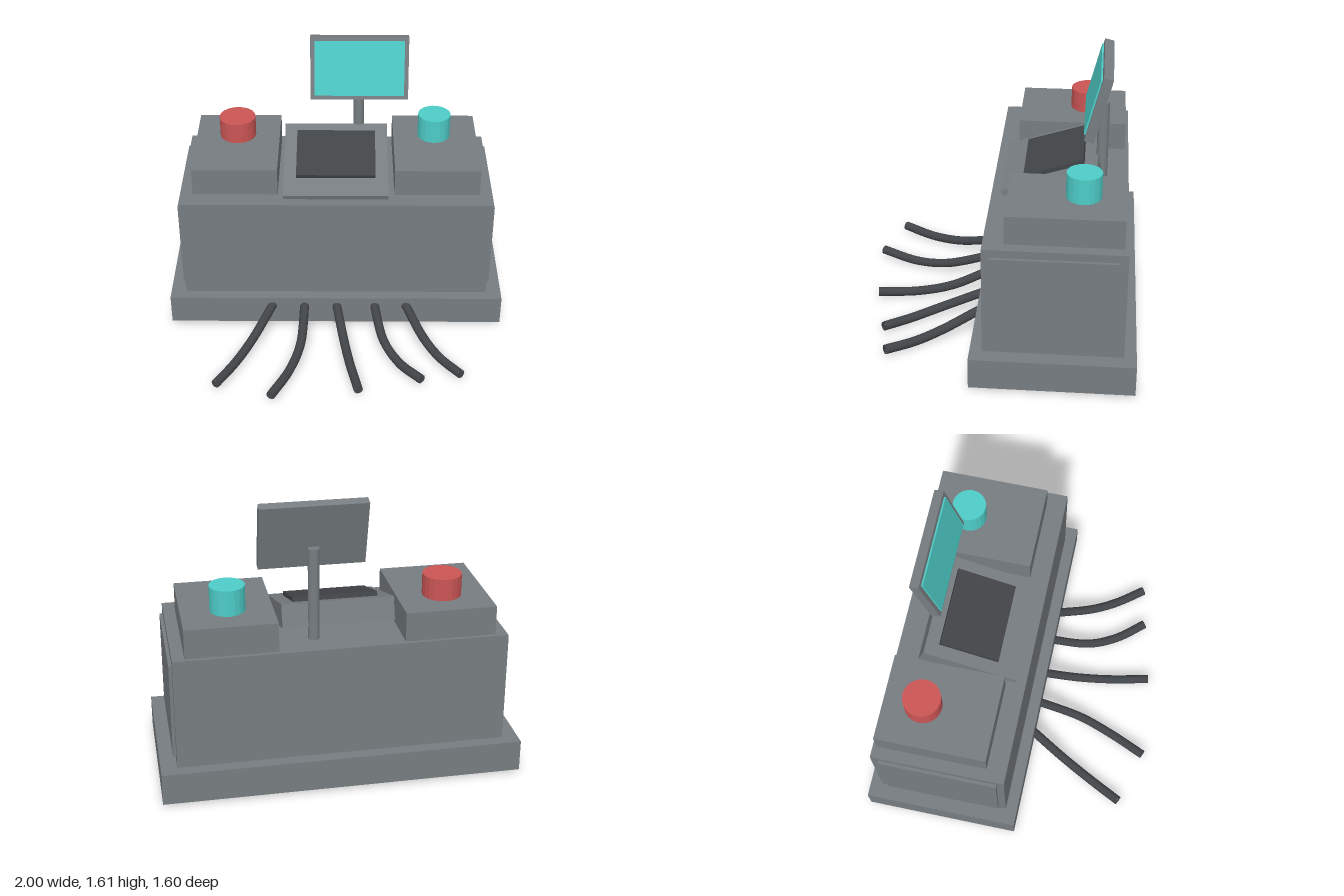
import * as THREE from 'three';

const material = (name, color) => {
  const m = new THREE.MeshStandardMaterial({ color });
  m.name = name;
  return m;
};

export function createModel() {
  const grey = material('cabinet grey', 0x777d81);
  const dark = material('cable black', 0x424548);
  const red = material('button red', 0xcc5555);
  const cyan = material('screen cyan', 0x4ecdc8);

  const model = new THREE.Group();
  model.name = 'controlConsole';

  const add = (name, geometry, mat, parent = model) => {
    const mesh = new THREE.Mesh(geometry, mat);
    mesh.name = name;
    parent.add(mesh);
    return mesh;
  };
  // Box given by its lowest and highest corner
  const box = (name, mat, [x0, y0, z0], [x1, y1, z1], parent = model) => {
    const mesh = add(name, new THREE.BoxGeometry(x1 - x0, y1 - y0, z1 - z0), mat, parent);
    mesh.position.set((x0 + x1) / 2, (y0 + y1) / 2, (z0 + z1) / 2);
    return mesh;
  };
  // Upright cylinder with flat facets
  const post = (name, mat, radius, sides, x, y0, y1, z) => {
    const geometry = new THREE.CylinderGeometry(radius, radius, y1 - y0, sides).toNonIndexed();
    geometry.computeVertexNormals();
    add(name, geometry, mat).position.set(x, (y0 + y1) / 2, z);
  };

  // Cabinet
  box('base', grey, [-1, 0.02, -0.8], [1, 0.2, 0.105]);
  box('body', grey, [-0.91, 0.2, -0.732], [0.91, 0.835, 0.038]);
  for (const side of [-1, 1]) {
    const label = side > 0 ? 'left' : 'right';
    const panel = box(label + 'SidePanel', grey, [-0.02, 0.245, -0.687], [0.02, 0.79, -0.005]);
    panel.position.x = side * 0.908;
    const pedestal = box(label + 'Pedestal', grey, [-0.25, 0.835, -0.71], [0.25, 1, -0.075]);
    pedestal.position.x = side * 0.593;
  }

  // Push buttons
  post('redButton', red, 0.108, 20, -0.595, 1, 1.125, -0.485);
  post('cyanButton', cyan, 0.097, 20, 0.587, 1, 1.145, -0.485);

  // Sloping desk, pivoted on its top front edge
  const desk = new THREE.Group();
  desk.name = 'slopingDesk';
  desk.position.set(0, 0.865, -0.015);
  desk.rotation.x = 0.308;
  model.add(desk);
  box('deskBlock', grey, [-0.31, -0.13, -0.562], [0.306, 0, 0], desk);
  box('keypad', dark, [-0.236, 0, -0.486], [0.232, 0.025, -0.135], desk);

  // Monitor leaning back on its pole
  post('monitorPole', grey, 0.032, 16, 0.134, 0.82, 1.355, -0.574);
  const monitor = new THREE.Group();
  monitor.name = 'monitor';
  monitor.position.set(0.135, 1.425, -0.546);
  monitor.rotation.x = -0.25;
  model.add(monitor);
  box('monitorCase', grey, [-0.29, -0.189, -0.027], [0.29, 0.189, 0.027], monitor);
  box('screen', cyan, [-0.265, -0.164, 0.027], [0.265, 0.164, 0.0365], monitor);

  // Cables running out over the floor: x and z of each path point
  const heights = [0.155, 0.14, 0.062, 0.034, 0.045];
  const cables = [
    [[-0.36, 0.05], [-0.385, 0.1], [-0.49, 0.31], [-0.585, 0.5], [-0.685, 0.695]],
    [[-0.187, 0.05], [-0.19, 0.1], [-0.207, 0.36], [-0.265, 0.56], [-0.365, 0.79]],
    [[-0.003, 0.05], [0.006, 0.1], [0.045, 0.3], [0.083, 0.5], [0.132, 0.74]],
    [[0.225, 0.05], [0.235, 0.1], [0.285, 0.33], [0.375, 0.5], [0.495, 0.65]],
    [[0.4, 0.05], [0.425, 0.1], [0.522, 0.3], [0.61, 0.445], [0.725, 0.605]],
  ];
  const radius = 0.027;
  cables.forEach((path, i) => {
    const curve = new THREE.CatmullRomCurve3(
      path.map(([x, z], k) => new THREE.Vector3(x, heights[k], z)));
    add('cable' + (i + 1), new THREE.TubeGeometry(curve, 24, radius, 10), dark);
    const cap = add('cableEnd' + (i + 1), new THREE.CircleGeometry(radius, 10), dark);
    cap.position.copy(curve.getPoint(1));
    cap.quaternion.setFromUnitVectors(new THREE.Vector3(0, 0, 1), curve.getTangent(1));
  });

  return model;
}
